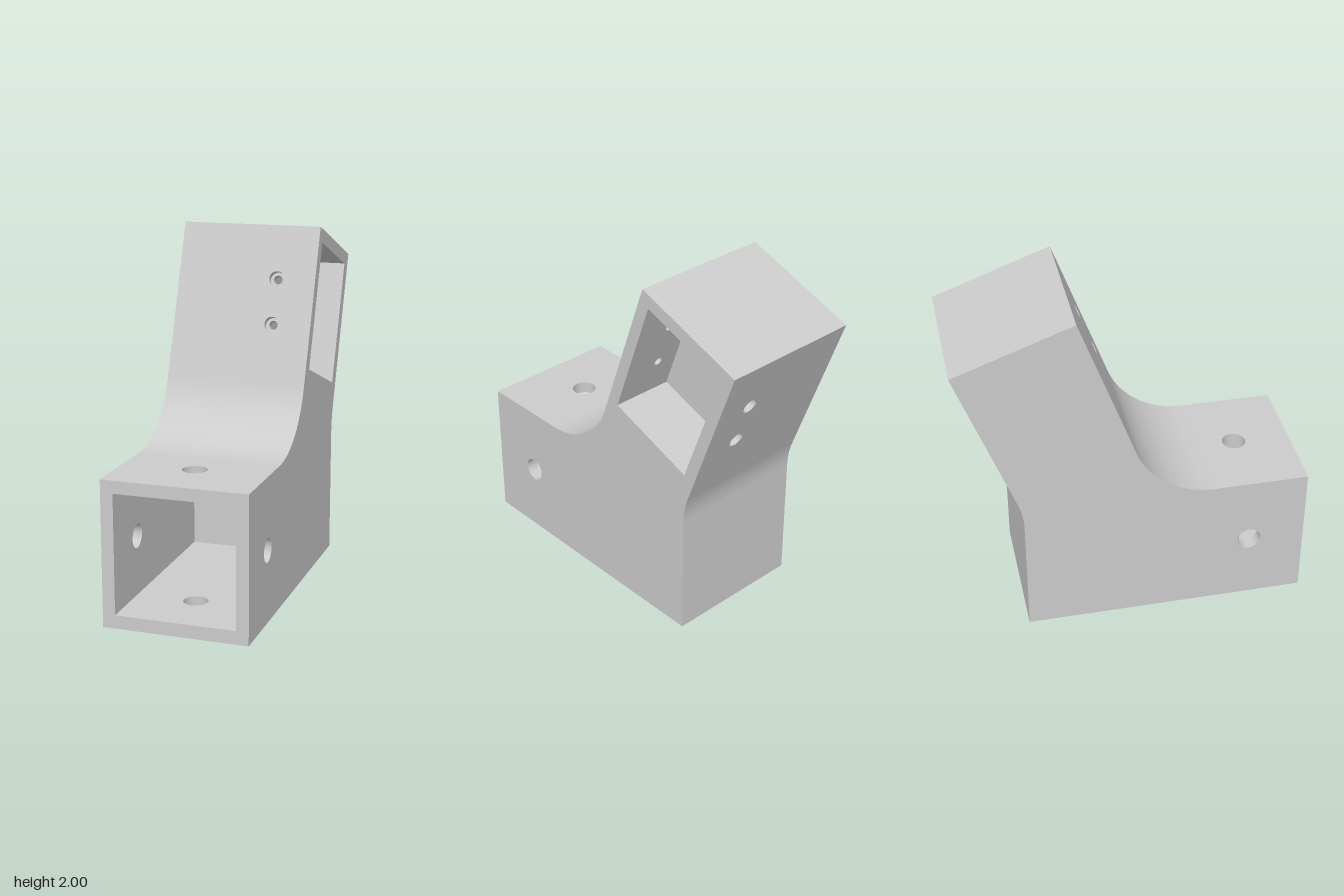
import * as THREE from 'three';
import { mergeGeometries } from 'three/addons/utils/BufferGeometryUtils.js';

const V = (x, y, z) => new THREE.Vector3(x, y, z);
const X = V(1, 0, 0), Y = V(0, 1, 0), Z = V(0, 0, 1), NZ = V(0, 0, -1);
const HW = 0.405, H = 0.815, FRONT = 0.985, BACK = -0.635;   // outer size
const IN = 0.335, LOW = 0.075, HIGH = 0.745, END = -0.24;    // front socket
const HOLE = 0.068, HOLE_Z = 0.66, HOLE_Y = 0.41;            // large bolt holes
const BORE = 0.043, PIN = 0.025, BORE_DEPTH = 0.035;         // small stepped holes
const R = 0.484, TILT = THREE.MathUtils.degToRad(20);

// Arm frame: up runs along the arm, out points from its front face
const up = V(0, Math.cos(TILT), -Math.sin(TILT));
const out = V(0, Math.sin(TILT), Math.cos(TILT));
const ARM_W = 0.702, WALL = 0.072, P_TOP = 0.075, P_BOT = 0.802, P_X = 0.045;
const PINS = [0.309, 0.57], PIN_X = 0.18;
const K = (down, inward, x = 0) =>
  V(x, 2, -0.32).addScaledVector(up, -down).addScaledVector(out, -inward);

// Fillet between deck and arm, and bend at the back
const frontArc = t => {
  const a = t * (Math.PI / 2 - TILT);
  return V(0, H + R - R * Math.cos(a), 0.45 - R * Math.sin(a));
};
const backArc = t => {
  const a = (1 - t) * TILT;
  return V(0, 0.72 + R * Math.sin(a), BACK - R + R * Math.cos(a));
};

const circle = (x, y, r) => new THREE.Path().absarc(x, y, r, 0, Math.PI * 2, true);
const rect = (x0, y0, x1, y1) =>
  [[x0, y0], [x1, y0], [x1, y1], [x0, y1]].map(p => new THREE.Vector2(...p));

// Flat face from a shape, laid on the axes u and v
function face(points, holes, origin, u, v) {
  const shape = new THREE.Shape(points);
  shape.holes = holes;
  const n = u.clone().cross(v);
  return new THREE.ShapeGeometry(shape, 24)
    .applyMatrix4(new THREE.Matrix4().makeBasis(u, v, n).setPosition(origin));
}

// Flat strip from a to b, spanning x0..x1; its normal is X cross (b - a)
function strip(a, b, x0, x1, holes = []) {
  const d = b.clone().sub(a), len = d.length();
  return face(rect(x0, 0, x1, len), holes, a, X, d.normalize());
}

// Curved strip across the full width
function curved(arc) {
  const g = new THREE.PlaneGeometry(2 * HW, 1, 1, 24), p = g.attributes.position;
  for (let i = 0; i < p.count; i++) {
    const q = arc(p.getY(i) + 0.5);
    p.setXYZ(i, p.getX(i), q.y, q.z);
  }
  g.computeVertexNormals();
  return g;
}

// Open bore lining between two points
function tube(a, b, r) {
  const d = b.clone().sub(a);
  const g = new THREE.CylinderGeometry(r, r, d.length(), 40, 1, true);
  g.applyQuaternion(new THREE.Quaternion().setFromUnitVectors(Y, d.normalize()));
  const m = a.clone().add(b).multiplyScalar(0.5);
  return g.translate(m.x, m.y, m.z);
}

export function createModel() {
  const group = new THREE.Group();
  const solid = new THREE.MeshStandardMaterial({ color: 0xcccccc });
  const thin = new THREE.MeshStandardMaterial({ color: 0xcccccc, side: THREE.DoubleSide });
  const add = (name, geometries, material = solid) => {
    const mesh = new THREE.Mesh(mergeGeometries(geometries), material);
    mesh.name = name;
    group.add(mesh);
  };

  // Side faces, from the bracket outline
  const steps = Array.from({ length: 25 }, (_, i) => i / 24);
  const outline = [V(0, 0, BACK), V(0, 0, FRONT), V(0, H, FRONT), ...steps.map(frontArc),
    K(0, 0), K(0, ARM_W), ...steps.map(backArc)];
  const pocket = [K(P_TOP, WALL), K(P_BOT, WALL),
    K(P_BOT, ARM_W - WALL), K(P_TOP, ARM_W - WALL)];
  const flat = (pts, s) => pts.map(p => new THREE.Vector2(s * p.z, p.y));
  add('leftSide', [face(flat(outline, -1),
    [circle(-HOLE_Z, HOLE_Y, HOLE), new THREE.Path(flat(pocket, -1))], V(HW, 0, 0), NZ, Y)]);
  add('rightSide', [face(flat(outline, 1), [circle(HOLE_Z, HOLE_Y, HOLE)], V(-HW, 0, 0), Z, Y)]);

  // Base shell
  add('base', [
    strip(V(0, 0, BACK), V(0, 0, FRONT), -HW, HW, [circle(0, HOLE_Z - BACK, HOLE)]),
    strip(V(0, 0, FRONT), V(0, H, FRONT), -HW, HW, [new THREE.Path(rect(-IN, LOW, IN, HIGH))]),
    strip(V(0, H, FRONT), frontArc(0), -HW, HW, [circle(0, FRONT - HOLE_Z, HOLE)]),
    strip(backArc(1), V(0, 0, BACK), -HW, HW),
  ]);
  add('frontFillet', [curved(frontArc)]);
  add('backBend', [curved(backArc)]);

  // Tilted arm shell
  const armStart = frontArc(1), armLength = armStart.distanceTo(K(0, 0));
  add('arm', [
    strip(armStart, K(0, 0), -HW, HW, PINS.map(s => circle(PIN_X, armLength - s, BORE))),
    strip(K(0, 0), K(0, ARM_W), -HW, HW),
    strip(K(0, ARM_W), backArc(0), -HW, HW, PINS.map(s => circle(PIN_X, s, BORE))),
  ]);

  // Square socket open to the front
  const sideWall = rect(LOW, END, HIGH, FRONT);
  add('frontSocket', [
    strip(V(0, LOW, FRONT), V(0, LOW, END), -IN, IN, [circle(0, FRONT - HOLE_Z, HOLE)]),
    strip(V(0, LOW, END), V(0, HIGH, END), -IN, IN),
    strip(V(0, HIGH, END), V(0, HIGH, FRONT), -IN, IN, [circle(0, HOLE_Z - END, HOLE)]),
    face(sideWall, [circle(HOLE_Y, HOLE_Z, HOLE)], V(-IN, 0, 0), Y, Z),
    face(rect(END, LOW, FRONT, HIGH), [circle(HOLE_Z, HOLE_Y, HOLE)], V(IN, 0, 0), Z, Y),
  ]);

  // Blind pocket in the arm, open to the left
  const pocketWalls = pocket.map((p, i) => {
    const pins = i === 0 ? PINS.map(s => circle(PIN_X, s - P_TOP, PIN))
      : i === 2 ? PINS.map(s => circle(PIN_X, P_BOT - s, PIN)) : [];
    return strip(p, pocket[(i + 1) % 4], P_X, HW, pins);
  });
  add('armPocket', [...pocketWalls,
    face(rect(0, 0, P_BOT - P_TOP, ARM_W - 2 * WALL), [], K(P_BOT, ARM_W - WALL, P_X), up, out)]);

  // Linings of the large bolt holes
  const bolts = [tube(V(0, 0, HOLE_Z), V(0, LOW, HOLE_Z), HOLE),
    tube(V(0, HIGH, HOLE_Z), V(0, H, HOLE_Z), HOLE)];
  for (const s of [-1, 1])
    bolts.push(tube(V(s * IN, HOLE_Y, HOLE_Z), V(s * HW, HOLE_Y, HOLE_Z), HOLE));
  add('boltHoles', bolts, thin);

  // Stepped holes through the front and back walls of the arm
  const stepped = [];
  for (const s of PINS) {
    for (const [outer, dir] of [[0, 1], [ARM_W, -1]]) {
      const step = outer + dir * BORE_DEPTH;
      const at = w => K(s, w, PIN_X);
      const seat = new THREE.RingGeometry(PIN, BORE, 40);
      seat.applyQuaternion(new THREE.Quaternion().setFromUnitVectors(Z, out.clone().multiplyScalar(dir)));
      const c = at(step);
      stepped.push(tube(at(outer), c, BORE), seat.translate(c.x, c.y, c.z),
        tube(c, at(outer + dir * WALL), PIN));
    }
  }
  add('steppedHoles', stepped, thin);
  return group;
}
